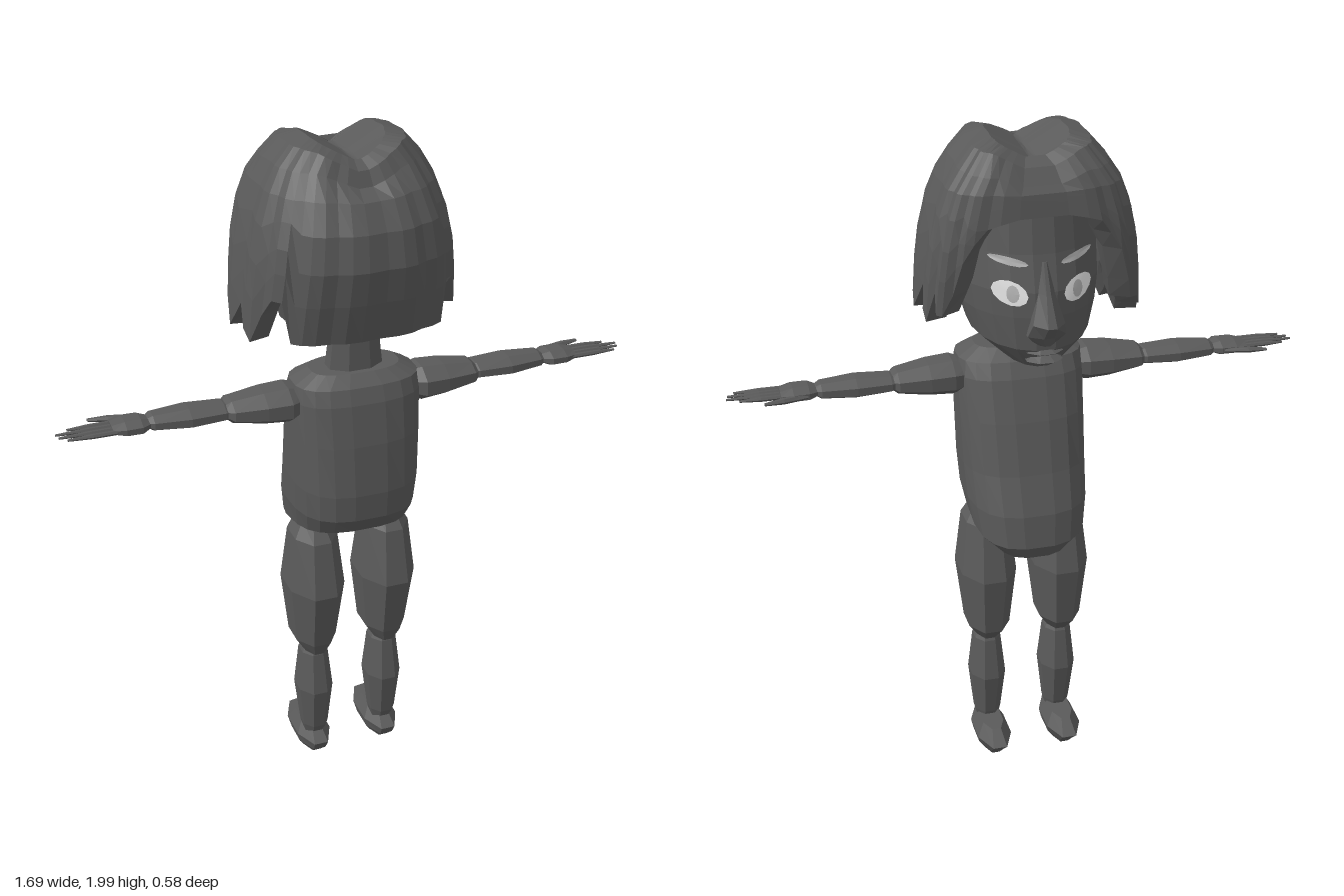
import * as THREE from 'three';

const grey = new THREE.MeshStandardMaterial({ color: 0x5a5a5a, flatShading: true, side: THREE.DoubleSide });
grey.name = 'grey';
const white = new THREE.MeshStandardMaterial({ color: 0xf0f0f0, side: THREE.DoubleSide });
white.name = 'white';
const pale = new THREE.MeshStandardMaterial({ color: 0xb4b4b4, side: THREE.DoubleSide });
pale.name = 'pale grey';

const spow = (v, p) => Math.sign(v) * Math.abs(v) ** p;
const lerp = THREE.MathUtils.lerp;

// Piecewise linear lookup in rows sorted by their first number
function sample(rows, t) {
  if (t <= rows[0][0]) return rows[0];
  for (let i = 1; i < rows.length; i++) {
    const a = rows[i - 1], b = rows[i];
    if (t <= b[0]) return a.map((v, k) => lerp(v, b[k], (t - a[0]) / (b[0] - a[0])));
  }
  return rows[rows.length - 1];
}

// One cross-section: half width, front z, back z, tilt of y along z
function ring([y, hx, zf, zb, tilt = 0], n, pow = 2) {
  const zc = (zf + zb) / 2, hz = (zb - zf) / 2;
  return Array.from({ length: n }, (_, j) => {
    const a = ((j + 0.5) / n) * Math.PI * 2;
    const z = zc + hz * spow(Math.sin(a), 2 / pow);
    return [hx * spow(Math.cos(a), 2 / pow), y + tilt * z, z];
  });
}

// Skin over a stack of rings, listed from bottom to top
function loft(rings, capBottom = true) {
  const n = rings[0].length, pos = rings.flat(2), idx = [];
  for (let i = 0; i < rings.length - 1; i++) {
    for (let j = 0; j < n; j++) {
      const k = (j + 1) % n, a = i * n + j, b = a + n, c = (i + 1) * n + k, d = i * n + k;
      idx.push(a, b, c, a, c, d);
    }
  }
  const cap = (r, flip) => {
    const c = pos.length / 3;
    for (let k = 0; k < 3; k++) pos.push(rings[r].reduce((s, p) => s + p[k], 0) / n);
    for (let j = 0; j < n; j++) {
      const a = r * n + j, b = r * n + ((j + 1) % n);
      idx.push(c, ...(flip ? [b, a] : [a, b]));
    }
  };
  if (capBottom) cap(0, false);
  cap(rings.length - 1, true);
  const g = new THREE.BufferGeometry();
  g.setAttribute('position', new THREE.Float32BufferAttribute(pos, 3));
  g.setIndex(idx);
  const flat = g.toNonIndexed();
  flat.computeVertexNormals();
  return flat;
}
const stack = (rows, n, pow) => loft(rows.map(r => ring(r, n, pow)));

function add(parent, name, geo, mat = grey) {
  const m = new THREE.Mesh(geo, mat);
  m.name = name;
  parent.add(m);
  return m;
}

const headRows = [
  [1.41, 0.1, -0.19, 0.1, 0.2],
  [1.46, 0.17, -0.225, 0.19, 0.12],
  [1.53, 0.19, -0.228, 0.2],
  [1.6, 0.2, -0.225, 0.22],
  [1.7, 0.2, -0.2, 0.23],
  [1.82, 0.19, -0.18, 0.19],
  [1.92, 0.11, -0.1, 0.12],
];

// Thin plate laid on the front of the face
function facePlate(cx, cy, rx, ry, tilt, lift) {
  const g = new THREE.CircleGeometry(1, 12);
  const p = g.attributes.position;
  for (let i = 0; i < p.count; i++) {
    const u = p.getX(i) * rx, x = cx + u, y = cy + p.getY(i) * ry + u * tilt;
    const [, hx, zf, zb] = sample(headRows, y);
    const z = (zf + zb) / 2 - ((zb - zf) / 2) * Math.sqrt(Math.max(0, 1 - (x / hx) ** 2));
    p.setXYZ(i, -x + 2 * cx, y - 2 * u * tilt, z);
    // keep the plate on the surface at its final x
    const fx = p.getX(i);
    p.setZ(i, (zf + zb) / 2 - ((zb - zf) / 2) * Math.sqrt(Math.max(0, 1 - (fx / hx) ** 2)) - lift);
  }
  g.computeVertexNormals();
  return g;
}

function buildHead() {
  const head = new THREE.Group();
  head.name = 'head';
  add(head, 'skull', stack(headRows, 20));
  add(head, 'neck', stack([[1.3, 0.09, 0.03, 0.15], [1.38, 0.08, 0.04, 0.145], [1.47, 0.07, 0.05, 0.14]], 8));

  // Nose: a narrow bridge widening to a pointed tip
  add(head, 'nose', stack([
    [1.45, 0.03, -0.24, -0.18], [1.48, 0.06, -0.26, -0.18],
    [1.52, 0.05, -0.295, -0.18], [1.6, 0.025, -0.25, -0.18], [1.68, 0.015, -0.21, -0.16],
  ], 8, 1.4));
  // Lips
  for (const y of [1.4, 1.425]) {
    add(head, y < 1.41 ? 'lowerLip' : 'upperLip', stack([
      [y - 0.012, 0.035, -0.215, -0.15], [y, 0.055, -0.24, -0.15], [y + 0.012, 0.035, -0.22, -0.15],
    ], 8));
  }
  // Eyes and brows
  for (const s of [-1, 1]) {
    add(head, 'eye', facePlate(s * 0.095, 1.6, 0.045, 0.034, s * 0.2, 0.007), white);
    add(head, 'iris', facePlate(s * 0.09, 1.6, 0.016, 0.024, 0, 0.012), pale);
    add(head, 'brow', facePlate(s * 0.095, 1.685, 0.05, 0.011, s * 0.2, 0.008), pale);
  }
  return head;
}

// Hair cap: open over the face, jagged at the sides, parted along the crown
function buildHair() {
  const N = 48;
  const profile = [
    [1.46, 0.315, -0.17, 0.235], [1.56, 0.31, -0.185, 0.26], [1.66, 0.3, -0.205, 0.29],
    [1.77, 0.283, -0.213, 0.285], [1.87, 0.245, -0.2, 0.23], [1.93, 0.21, -0.185, 0.185],
    [1.98, 0.165, -0.155, 0.165], [2.0, 0.11, -0.11, 0.12],
  ];
  const hemTable = [[0, 1.81], [20, 1.78], [33, 1.7], [42, 1.58], [50, 1.52]];
  const hem = (j, a) => {
    const d = THREE.MathUtils.radToDeg(Math.acos(-Math.sin(a)));
    if (d < 50) return sample(hemTable, d)[1];
    if (d < 122) return [1.5, 1.53, 1.59][j % 3] - (Math.cos(a) < 0 && d > 85 ? 0.045 : 0);
    return d < 138 ? 1.6 : 1.475;
  };
  // rows: [share of the way from hem to shoulder of the cap, inward scale]
  const lower = [[0.12, 0.74], [0, 0.8], [0, 1], [0.3, 1], [0.55, 1], [0.8, 1], [1, 1]];
  const point = (y, j, scale) => {
    const a = ((j + 0.5) / N) * Math.PI * 2;
    const [, hx, zf, zb] = sample(profile, y);
    const front = Math.sin(a) < 0, e = front ? 0.5 : 0.85;
    const strand = 1 - 0.025 * (j % 3 === 2 ? 1 : 0);
    const x = hx * spow(Math.cos(a), e) * scale * strand;
    const z = (front ? -zf : zb) * spow(Math.sin(a), e) * scale * strand;
    const part = 0.06 * Math.max(0, 1 - Math.abs(x) / 0.12) * THREE.MathUtils.smoothstep(y, 1.84, 1.96);
    const slope = y > 1.9 ? 0.1 * Math.min(0, z) : 0;
    return [x, y - part + slope, z];
  };
  const rings = lower.map(([t, s]) => Array.from({ length: N }, (_, j) =>
    point(lerp(hem(j, ((j + 0.5) / N) * Math.PI * 2), 1.87, t), j, s)));
  for (const y of [1.93, 1.98, 2.0]) rings.push(Array.from({ length: N }, (_, j) => point(y, j, 1)));
  // crown rows shrink to the parting line
  rings.push(rings[rings.length - 1].map(([x, , z]) => [x * 0.1, 1.94 + 0.1 * Math.min(0, z), z * 0.9]));
  return loft(rings, false);
}

function buildArm(s) {
  const arm = new THREE.Group();
  arm.name = s > 0 ? 'leftArm' : 'rightArm';
  add(arm, 'upperArm', stack([[0.15, 0.04, 0.02, 0.13], [0.2, 0.055, 0, 0.165], [0.27, 0.05, 0, 0.16],
    [0.36, 0.035, 0.012, 0.14], [0.385, 0.015, 0.04, 0.11]], 8));
  add(arm, 'forearm', stack([[0.35, 0.015, 0.04, 0.1], [0.38, 0.026, 0.02, 0.125], [0.48, 0.031, 0.012, 0.132],
    [0.58, 0.024, 0.025, 0.115], [0.6, 0.012, 0.045, 0.095]], 8));
  add(arm, 'palm', stack([[0.585, 0.012, 0.04, 0.1], [0.615, 0.023, 0.02, 0.125], [0.66, 0.022, 0.018, 0.125],
    [0.695, 0.012, 0.03, 0.11]], 8));
  [0.81, 0.845, 0.84, 0.82].forEach((tip, i) => {
    const z = 0.045 + i * 0.02;
    add(arm, 'finger', stack([[0.67, 0.007, z - 0.008, z + 0.008], [0.75, 0.007, z - 0.008, z + 0.008],
      [tip, 0.003, z - 0.004, z + 0.004]], 6));
  });
  add(arm, 'thumb', stack([[0.62, 0.008, 0.02, 0.045], [0.69, 0.009, 0.005, 0.028], [0.745, 0.004, 0, 0.012]], 6));
  arm.rotation.z = -s * Math.PI / 2;
  arm.position.y = 1.257;
  return arm;
}

function buildLeg(s) {
  const leg = new THREE.Group();
  leg.name = s > 0 ? 'leftLeg' : 'rightLeg';
  add(leg, 'thigh', stack([[0.39, 0.035, -0.01, 0.11], [0.44, 0.068, -0.06, 0.14], [0.63, 0.09, -0.09, 0.183],
    [0.8, 0.07, -0.055, 0.15], [0.85, 0.04, -0.02, 0.11]], 8));
  add(leg, 'shin', stack([[0.08, 0.035, 0.01, 0.085], [0.11, 0.042, 0, 0.098], [0.25, 0.057, -0.03, 0.122],
    [0.38, 0.043, -0.01, 0.1], [0.42, 0.025, 0.01, 0.08]], 8));
  add(leg, 'foot', stack([[0, 0.03, -0.07, 0.075], [0.03, 0.05, -0.1, 0.11], [0.06, 0.057, -0.135, 0.128],
    [0.1, 0.035, -0.085, 0.075]], 8));
  leg.position.x = s * 0.112;
  return leg;
}

export function createModel() {
  const model = new THREE.Group();
  model.name = 'figure';
  // Torso: upright chest, belly sagging forward, tilted underside
  add(model, 'torso', stack([
    [0.79, 0.12, -0.155, 0.15, 0.28], [0.825, 0.165, -0.178, 0.205, 0.2], [0.9, 0.178, -0.165, 0.24, 0.08],
    [1.0, 0.183, -0.125, 0.245], [1.15, 0.186, -0.085, 0.232], [1.27, 0.188, -0.045, 0.212],
    [1.315, 0.182, -0.02, 0.195], [1.345, 0.13, 0.02, 0.16],
  ], 20, 2.8));
  model.add(buildHead());
  add(model, 'hair', buildHair());
  for (const s of [-1, 1]) model.add(buildArm(s), buildLeg(s));
  return model;
}
